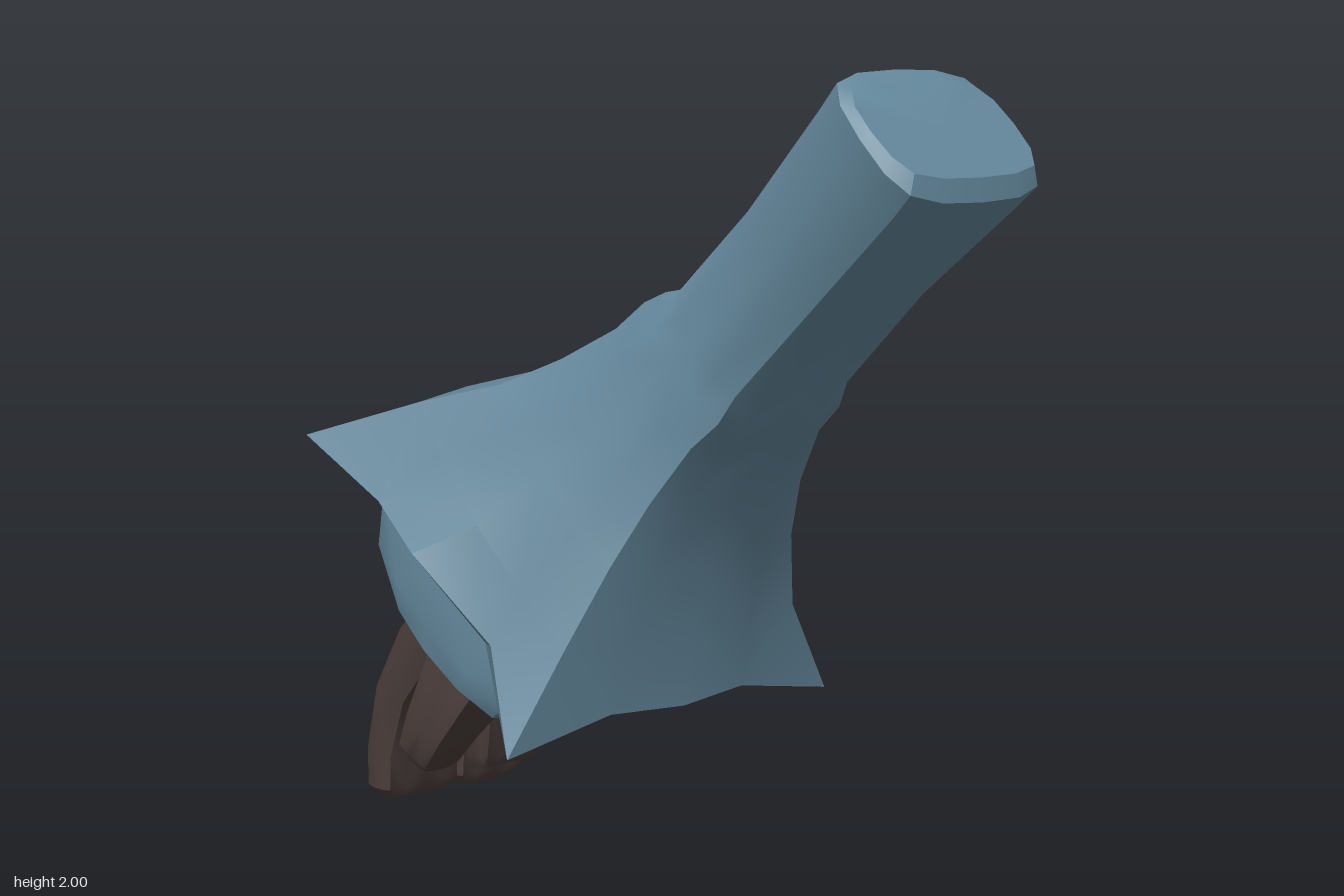
import * as THREE from 'three';
import { toCreasedNormals } from 'three/addons/utils/BufferGeometryUtils.js';

// Sixteen-point rounded-square cross-section between an upper and a lower
// point in the xy plane: [ux, uy, lx, ly, zCentre, zHalf, cornerFactor]
function ring([ux, uy, lx, ly, zc, zh, c = 0.9]) {
  const e = 0.97, q = 0.5;
  const side = [[c, c], [e, q], [1, 0], [e, -q]];
  const pts = [];
  for (let s = 0; s < 4; s++) {
    for (const [p, r] of side) {
      const [a, b] = [[p, r], [r, -p], [-p, -r], [-r, p]][s];
      const t = (1 - a) / 2;
      pts.push([ux + (lx - ux) * t, uy + (ly - uy) * t, zc + zh * b]);
    }
  }
  return pts;
}

// Skin a list of equal rings and close both ends
function loft(rings, crease) {
  const n = rings[0].length, pos = rings.flat(2), idx = [];
  for (let r = 0; r < rings.length - 1; r++) {
    for (let k = 0; k < n; k++) {
      const a = r * n + k, b = r * n + (k + 1) % n;
      // alternate diagonals so both sides mirror each other
      if (k % 2) idx.push(a, b, a + n, b, b + n, a + n);
      else idx.push(a, b, b + n, a, b + n, a + n);
    }
  }
  for (const end of [0, rings.length - 1]) {
    const mid = [0, 1, 2].map(i => rings[end].reduce((s, p) => s + p[i], 0) / n);
    const m = pos.length / 3;
    pos.push(...mid);
    for (let k = 0; k < n; k++) {
      const a = end * n + k, b = end * n + (k + 1) % n;
      if (end === 0) idx.push(m, b, a); else idx.push(m, a, b);
    }
  }
  // turn the faces outward if the enclosed volume is negative
  const P = i => new THREE.Vector3().fromArray(pos, i * 3);
  let vol = 0;
  for (let i = 0; i < idx.length; i += 3) {
    vol += P(idx[i]).dot(P(idx[i + 1]).cross(P(idx[i + 2])));
  }
  if (vol < 0) idx.reverse();
  const g = new THREE.BufferGeometry();
  g.setAttribute('position', new THREE.Float32BufferAttribute(pos, 3));
  g.setIndex(idx);
  return toCreasedNormals(g, crease);
}

// Jagged rim of the flared cuff: half outline from top middle to bottom middle
function cuffRim() {
  const h = [
    [-0.71, 1.12, 0], [-0.68, 1.07, 0.2], [-0.785, 1.05, 0.53],
    [-0.52, 0.91, 0.5], [-0.33, 0.81, 0.54], [-0.13, 0.6, 0.455],
    [0.03, 0.36, 0.535], [0.045, 0.42, 0.22], [0.07, 0.41, 0],
  ];
  const back = h.map(([x, y, z]) => [x, y, -z]);
  return [h[2], h[1], h[0], ...back.slice(1, 8), h[8], h[7], h[6], h[5], h[4], h[3]];
}

export function createModel() {
  const group = new THREE.Group();
  const cloth = new THREE.MeshStandardMaterial({ color: 0x64889c });
  cloth.name = 'blue cloth';
  const glove = new THREE.MeshStandardMaterial({ color: 0x4b3e3c });
  glove.name = 'dark brown glove';

  function add(name, rings, material, crease = 0.6) {
    const mesh = new THREE.Mesh(loft(rings, crease), material);
    mesh.name = name;
    group.add(mesh);
  }

  // Forearm sleeve, flared cuff and puffed lining in one skin
  add('sleeve', [
    ...[
      [0.72, 1.98, 0.95, 1.77, -0.09, 0.235, 0.84],
      [0.68, 2.0, 0.955, 1.715, -0.09, 0.252, 0.83],
      [0.62, 1.94, 0.9, 1.665, -0.09, 0.243, 0.83],
      [0.37, 1.69, 0.645, 1.45, -0.08, 0.213, 0.83],
      [0.13, 1.465, 0.39, 1.215, -0.075, 0.22, 0.85],
      [0.05, 1.455, 0.355, 1.145, -0.07, 0.235, 0.86],
      [-0.03, 1.385, 0.285, 1.08, -0.06, 0.25, 0.86],
      [-0.17, 1.305, 0.205, 0.94, -0.04, 0.29, 0.87],
      [-0.33, 1.235, 0.14, 0.78, -0.025, 0.345, 0.88],
      [-0.54, 1.18, 0.09, 0.58, -0.005, 0.425, 0.9],
    ].map(ring),
    cuffRim(),
    ...[
      [-0.69, 0.96, -0.05, 0.46, 0, 0.42, 0.9],
      [-0.70, 0.78, -0.13, 0.41, 0, 0.435, 0.9],
      [-0.68, 0.69, -0.2, 0.365, 0, 0.425, 0.88],
      [-0.645, 0.64, -0.27, 0.36, 0, 0.38, 0.86],
      [-0.58, 0.64, -0.29, 0.4, 0, 0.28, 0.82],
    ].map(ring),
  ], cloth, 0.55);

  // Palm between the lining and the fingers
  add('palm', [
    [-0.42, 0.72, -0.27, 0.5, 0.02, 0.24],
    [-0.6, 0.65, -0.4, 0.43, 0.01, 0.24],
    [-0.69, 0.58, -0.57, 0.44, 0, 0.22],
  ].map(ring), glove);

  // Two long curled fingers side by side
  const finger = [
    [-0.5, 0.68, -0.44, 0.46], [-0.64, 0.645, -0.56, 0.46],
    [-0.8, 0.5, -0.67, 0.41], [-0.91, 0.32, -0.78, 0.29],
    [-0.955, 0.14, -0.84, 0.13], [-0.955, 0.035, -0.845, 0.035],
    [-0.93, 0.003, -0.865, 0.005],
  ];
  add('frontFinger', finger.map((f, i) =>
    ring([...f, 0.12, i === 6 ? 0.105 : 0.13])), glove);
  add('backFinger', finger.map(([a, b, c, d], i) =>
    ring([a + 0.02, b, c + 0.02, d, -0.13 + i * 0.006, i === 6 ? 0.085 : 0.135 - i * 0.004])), glove);

  // Shorter finger curled behind the long ones
  add('curledFinger', [
    [-0.66, 0.52, -0.54, 0.46, -0.12, 0.115],
    [-0.77, 0.38, -0.65, 0.38, -0.12, 0.115],
    [-0.84, 0.22, -0.72, 0.25, -0.115, 0.11],
    [-0.85, 0.09, -0.74, 0.1, -0.11, 0.105],
    [-0.83, 0.055, -0.76, 0.07, -0.11, 0.09],
  ].map(ring), glove);

  // Thumb
  add('thumb', [
    [-0.5, 0.62, -0.3, 0.46, 0.24, 0.1],
    [-0.55, 0.44, -0.36, 0.37, 0.28, 0.09],
    [-0.6, 0.33, -0.45, 0.265, 0.305, 0.07],
    [-0.64, 0.235, -0.515, 0.19, 0.31, 0.06],
    [-0.615, 0.2, -0.535, 0.175, 0.31, 0.045],
  ].map(ring), glove);

  return group;
}
